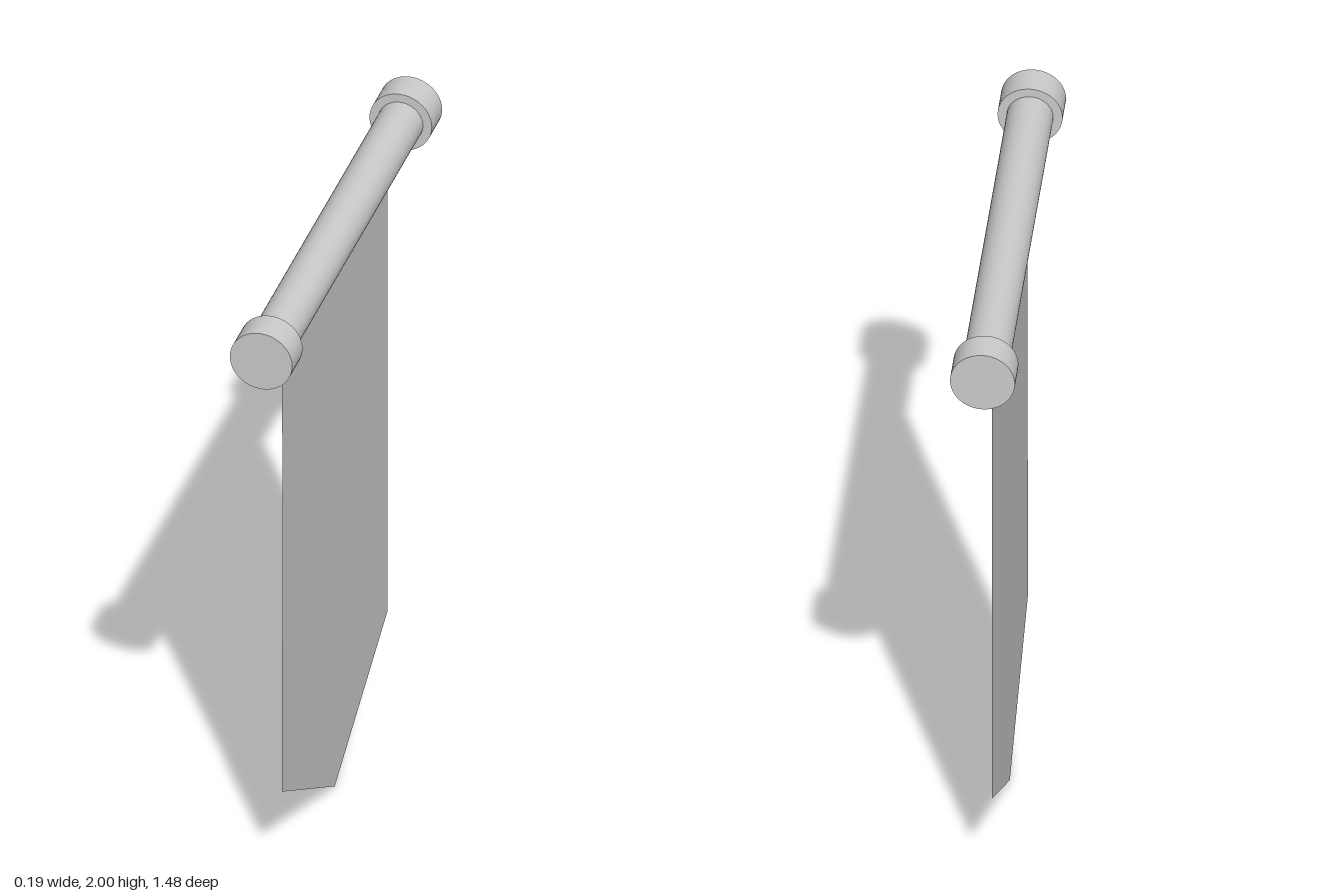
import * as THREE from 'three';

export function createModel() {
  const group = new THREE.Group();
  const material = new THREE.MeshStandardMaterial({ color: 0xcccccc });
  const clothMaterial = new THREE.MeshStandardMaterial({ color: 0xcccccc, side: THREE.DoubleSide });
  const axisY = 1.905;

  // Cylinder lying along z
  function addRound(name, radius, length, z) {
    const geometry = new THREE.CylinderGeometry(radius, radius, length, 48).rotateX(Math.PI / 2);
    const mesh = new THREE.Mesh(geometry, material);
    mesh.name = name;
    mesh.position.set(0, axisY, z);
    group.add(mesh);
  }

  // Horizontal rod with a wider cap on each end
  addRound('rod', 0.068, 1.3, 0);
  addRound('frontCap', 0.095, 0.102, 0.689);
  addRound('backCap', 0.095, 0.102, -0.689);

  // Hanging cloth with slightly uneven edges and a pointed hem, as [z, y]
  const outline = [
    [0.515, 1.86], [0.515, 1.57], [0.509, 1.5], [0.509, 0.82], [0.514, 0.76], [0.514, 0.292],
    [-0.007, 0], [-0.53, 0.292], [-0.53, 1.76], [-0.534, 1.86],
  ];
  const shape = new THREE.Shape(outline.map(([z, y]) => new THREE.Vector2(-z, y)));
  const cloth = new THREE.Mesh(new THREE.ShapeGeometry(shape).rotateY(Math.PI / 2), clothMaterial);
  cloth.name = 'cloth';
  cloth.position.x = -0.006;
  group.add(cloth);

  return group;
}
